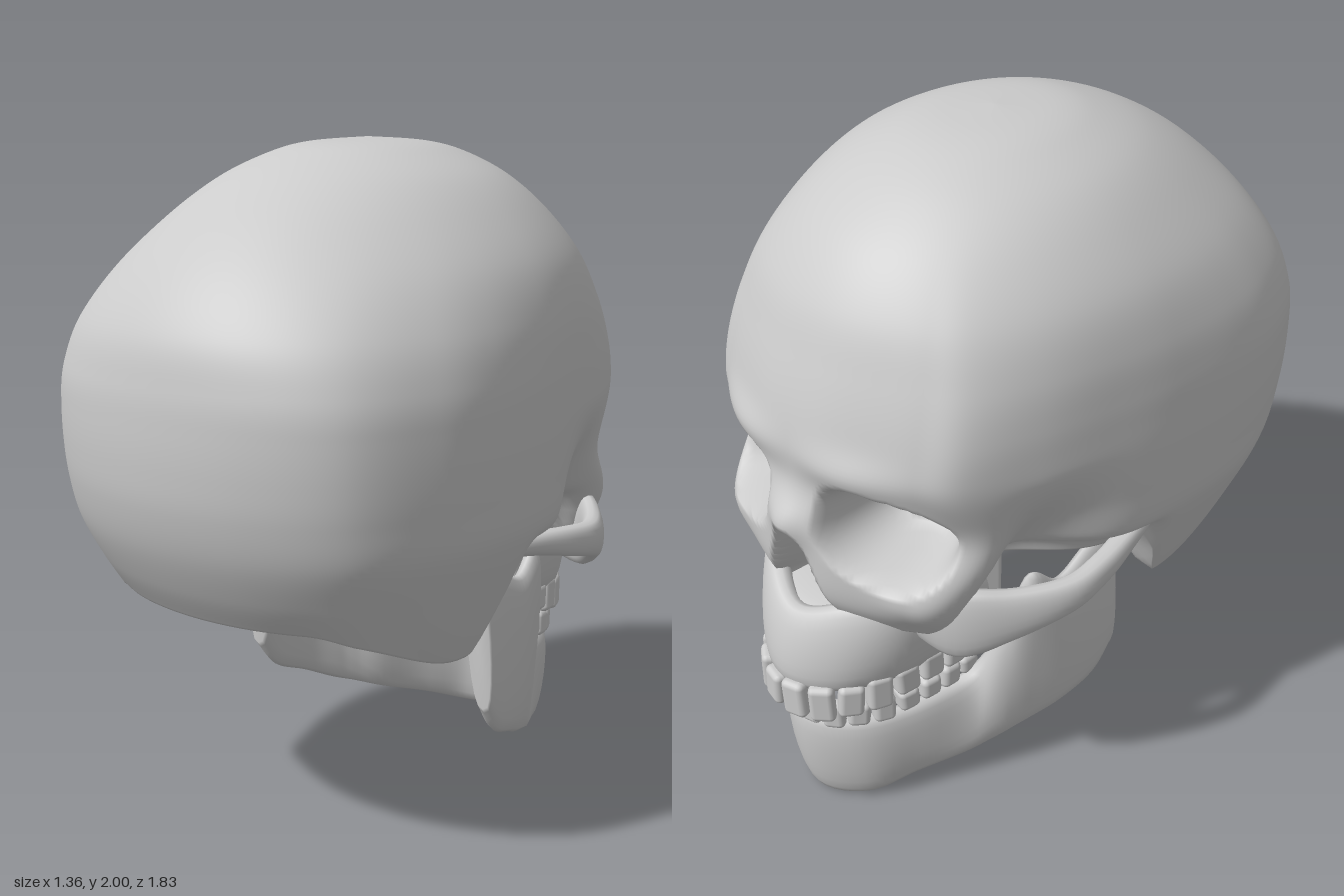
import * as THREE from 'three';
import { RoundedBoxGeometry } from 'three/addons/geometries/RoundedBoxGeometry.js';

const bone = new THREE.MeshStandardMaterial({ color: 0xcccccc });
const step = THREE.MathUtils.smoothstep;
const bump = (v, centre, width) => Math.exp(-(((v - centre) / width) ** 2));
const spline = pts => new THREE.SplineCurve(pts.map(p => new THREE.Vector2(p[0], p[1])));

function addMesh(parent, name, geometry) {
  const mesh = new THREE.Mesh(geometry, bone);
  mesh.name = name;
  parent.add(mesh);
  return mesh;
}

// Closed skin over a list of rings, capped at both ends and always facing outwards
function loft(rings) {
  const n = rings[0].length, pos = [], index = [];
  rings.forEach(r => r.forEach(p => pos.push(p.x, p.y, p.z)));
  for (let i = 0; i < rings.length - 1; i++) {
    for (let j = 0; j < n; j++) {
      const a = i * n + j, b = i * n + (j + 1) % n;
      index.push(a, b, b + n, a, b + n, a + n);
    }
  }
  [0, rings.length - 1].forEach((r, end) => {
    const c = rings[r].reduce((s, p) => s.add(p), new THREE.Vector3()).divideScalar(n);
    const id = pos.length / 3;
    pos.push(c.x, c.y, c.z);
    for (let j = 0; j < n; j++) {
      const a = r * n + j, b = r * n + (j + 1) % n;
      if (end) index.push(a, b, id); else index.push(b, a, id);
    }
  });
  const at = i => new THREE.Vector3().fromArray(pos, i * 3);
  let volume = 0;
  for (let i = 0; i < index.length; i += 3) {
    volume += at(index[i]).dot(at(index[i + 1]).cross(at(index[i + 2])));
  }
  if (volume < 0) index.reverse();
  const g = new THREE.BufferGeometry();
  g.setAttribute('position', new THREE.Float32BufferAttribute(pos, 3));
  g.setIndex(index);
  g.computeVertexNormals();
  return g;
}

// Rounded plate following stations of [bottom x, y, z, top x, y, z]
function plate(stations, thickness, steps) {
  const curve = o => new THREE.CatmullRomCurve3(
    stations.map(s => new THREE.Vector3(s[o], s[o + 1], s[o + 2])));
  const low = curve(0), high = curve(3), rings = [];
  const mid = t => low.getPoint(t).lerp(high.getPoint(t), 0.5);
  for (let i = 0; i <= steps; i++) {
    const t = i / steps;
    const d = mid(Math.min(1, t + 0.01)).sub(mid(Math.max(0, t - 0.01)));
    const normal = new THREE.Vector3(d.z, 0, -d.x).normalize();
    const ring = [];
    for (let k = 0; k < 20; k++) {
      const a = k / 20 * Math.PI * 2, s = Math.sin(a);
      ring.push(low.getPoint(t).lerp(high.getPoint(t), 0.5 - 0.5 * Math.cos(a))
        .addScaledVector(normal, thickness * Math.sign(s) * Math.abs(s) ** 0.7));
    }
    rings.push(ring);
  }
  return loft(rings);
}

const flip = s => [-s[0], s[1], s[2], -s[3], s[4], s[5]];
// Continues a half arch, which ends on the midline, to the other side
const wholeArch = half => [...half, ...half.slice(0, -1).reverse().map(flip)];

// Hollows and ridges pressed into the smooth skull
function sculpt(x, y, z) {
  const side = Math.sign(x), front = z < -0.42, x0 = Math.abs(x);
  // hollow of the temple
  let sx = x0 * (1 - 0.33 * (1 - step(y, 0.8, 1.25)) * bump(z, -0.37, 0.15));
  if (front) {
    // brow, cheek and nose bridge
    z -= 0.025 * bump(x0, 0.22, 0.15) * bump(y, 1.26, 0.06);
    z -= 0.025 * bump(x0, 0.38, 0.1) * bump(y, 0.87, 0.07);
    z -= 0.045 * bump(x0, 0, 0.075) * bump(y, 1.05, 0.07);
    z += 0.07 * bump(x0, 0.44, 0.09) * bump(y, 1.06, 0.11);
    // eye socket
    const u = (x0 - 0.262) / 0.177, v = (y - 1.065 + 0.15 * (x0 - 0.26)) / 0.152;
    const socket = 1 - step((Math.abs(u) ** 2.5 + Math.abs(v) ** 2.5) ** 0.4, 0.5, 1);
    z += 0.25 * socket;
    sx -= 0.05 * socket;
    // nose opening, wider towards the bottom
    const h = THREE.MathUtils.clamp((1.02 - y) / 0.26, 0, 1);
    const nose = (1 - step(x0 / (0.035 + 0.1 * h), 0.6, 1)) * (1 - step(y, 0.985, 1.025));
    z += 0.2 * nose;
  }
  // bony points behind the ears and the raised floor in front of them
  const low = 1 - step(y, 0.74, 0.95);
  const mastoid = step(sx, 0.33, 0.45) * step(z, 0.07, 0.17) * (1 - step(z, 0.2, 0.75));
  const floor = step(sx, 0.18, 0.28) * step(z, -0.56, -0.48) * (1 - step(z, 0.0, 0.1));
  sx -= 0.06 * low * mastoid * step(sx, 0.42, 0.56);
  y += low * (0.11 * floor - 0.155 * mastoid);
  return new THREE.Vector3(side * sx, y, z);
}

function skullGeometry() {
  // half outline seen from above, back to face
  const half = [[0, 0.92], [0.3, 0.872], [0.53, 0.735], [0.648, 0.5], [0.68, 0.28], [0.66, 0.02],
    [0.615, -0.2], [0.555, -0.42], [0.47, -0.62], [0.37, -0.695], [0.25, -0.75], [0.12, -0.79], [0, -0.8]];
  const outline = new THREE.CatmullRomCurve3(
    [...half, ...half.slice(1, -1).reverse().map(p => [-p[0], p[1]])]
      .map(p => new THREE.Vector3(p[0], 0, p[1])), true, 'catmullrom');
  // height, half width, back, face
  const levels = [[2, 0.01, 0.01, 0.01], [1.987, 0.16, 0.2, 0.19], [1.955, 0.265, 0.33, 0.32],
    [1.89, 0.385, 0.485, 0.45], [1.79, 0.492, 0.645, 0.58], [1.66, 0.592, 0.785, 0.68],
    [1.52, 0.65, 0.88, 0.737], [1.39, 0.674, 0.912, 0.778], [1.28, 0.68, 0.92, 0.797],
    [1.17, 0.68, 0.918, 0.795], [1.06, 0.674, 0.905, 0.81], [0.94, 0.662, 0.87, 0.82],
    [0.82, 0.615, 0.81, 0.81], [0.73, 0.57, 0.75, 0.76]];
  const sizes = spline(levels), depths = spline(levels.map(l => [l[2], l[3]]));
  const columns = 216, rows = 104, rings = [];
  const ringAt = (t, shrink) => {
    const s = sizes.getPoint(t), d = depths.getPoint(t), ring = [];
    const round = step(s.x, 1.3, 1.9);
    for (let j = 0; j < columns; j++) {
      const o = outline.getPoint(j / columns);
      // the outline becomes a plain oval towards the crown
      const nx = o.x / 0.68, nz = o.z / (o.z > 0 ? 0.92 : 0.8);
      const k = shrink / Math.hypot(nx, nz) ** round;
      ring.push(sculpt(nx * k * s.y, s.x + 0.04 * (1 - shrink), nz * k * (nz > 0 ? d.x : d.y)));
    }
    return ring;
  };
  for (let i = 0; i <= rows; i++) rings.push(ringAt(i / rows, 1));
  // underside
  for (let k = 1; k < 16; k++) rings.push(ringAt(1, 1 - k / 16));
  return loft(rings);
}

function addTeeth(parent, name, width, back, front, yBack, yFront, height) {
  const group = new THREE.Group();
  group.name = name;
  const half = [[1, 0], [0.98, 0.35], [0.83, 0.68], [0.48, 0.92], [0, 1]];
  const arch = spline([...half, ...half.slice(0, -1).reverse().map(p => [-p[0], p[1]])]
    .map(p => [p[0] * width, back + (front - back) * p[1]]));
  const count = 16, pitch = arch.getLength() / count;
  for (let i = 0; i < count; i++) {
    const t = (i + 0.5) / count, p = arch.getPointAt(t), d = arch.getTangentAt(t);
    const molar = step(Math.abs(t - 0.5), 0.08, 0.4);
    const tooth = addMesh(group, 'tooth', new RoundedBoxGeometry(
      pitch * 0.92, height * (1 - 0.2 * molar + 0.08 * Math.sin(i * 2.4)), 0.045 + 0.04 * molar, 2, 0.018));
    tooth.position.set(p.x, yFront + (yBack - yFront) * molar, p.y);
    tooth.rotation.set(0, Math.atan2(-d.y, d.x), 0.07 * Math.sin(i * 1.7));
  }
  parent.add(group);
}

export function createModel() {
  const model = new THREE.Group();
  model.name = 'skull';
  addMesh(model, 'cranium', skullGeometry());

  // Cheekbones sweeping back to the ears
  const cheek = [[0.52, 0.85, 0.12, 0.53, 0.9, 0.12], [0.57, 0.83, -0.06, 0.575, 0.9, -0.06],
    [0.595, 0.8, -0.2, 0.595, 0.89, -0.2], [0.59, 0.77, -0.32, 0.59, 0.88, -0.32],
    [0.51, 0.71, -0.47, 0.51, 0.88, -0.47], [0.4, 0.65, -0.58, 0.41, 0.89, -0.58],
    [0.25, 0.68, -0.61, 0.28, 0.84, -0.63]];
  addMesh(model, 'leftCheekbone', plate(cheek, 0.036, 36));
  addMesh(model, 'rightCheekbone', plate(cheek.map(flip), 0.036, 36));

  // Upper jaw with palate and the plates behind it
  addMesh(model, 'upperJaw', plate(wholeArch([
    [0.25, 0.54, -0.34, 0.27, 0.76, -0.36], [0.25, 0.53, -0.5, 0.29, 0.8, -0.5],
    [0.21, 0.51, -0.68, 0.27, 0.83, -0.63], [0.12, 0.5, -0.81, 0.16, 0.8, -0.74],
    [0, 0.5, -0.86, 0, 0.745, -0.81]]), 0.045, 60));
  const palate = addMesh(model, 'palate', new THREE.SphereGeometry(1, 32, 16));
  palate.scale.set(0.25, 0.04, 0.27);
  palate.position.set(0, 0.72, -0.54);
  for (const s of [1, -1]) {
    const wing = addMesh(model, 'palateWing', new RoundedBoxGeometry(0.04, 0.28, 0.1, 2, 0.018));
    wing.position.set(s * 0.25, 0.7, -0.31);
    wing.rotation.y = s * 0.4;
  }

  // Lower jaw from one hinge round the chin to the other
  addMesh(model, 'lowerJaw', plate(wholeArch([
    [0.455, 0.35, 0.02, 0.42, 0.79, 0.03], [0.445, 0.26, -0.05, 0.43, 0.75, -0.08],
    [0.42, 0.21, -0.17, 0.43, 0.71, -0.19], [0.375, 0.165, -0.27, 0.415, 0.78, -0.29],
    [0.345, 0.14, -0.34, 0.36, 0.6, -0.34], [0.295, 0.105, -0.43, 0.28, 0.4, -0.4],
    [0.205, 0.06, -0.58, 0.23, 0.365, -0.58], [0.13, 0.015, -0.7, 0.14, 0.35, -0.74],
    [0, 0, -0.765, 0, 0.345, -0.81]]), 0.04, 96));
  for (const s of [1, -1]) {
    const hinge = addMesh(model, 'jawHinge', new THREE.SphereGeometry(1, 20, 12));
    hinge.scale.set(0.065, 0.05, 0.035);
    hinge.position.set(s * 0.39, 0.745, -0.01);
  }

  addTeeth(model, 'upperTeeth', 0.25, -0.34, -0.885, 0.52, 0.465, 0.12);
  addTeeth(model, 'lowerTeeth', 0.235, -0.36, -0.825, 0.415, 0.38, 0.09);
  return model;
}
